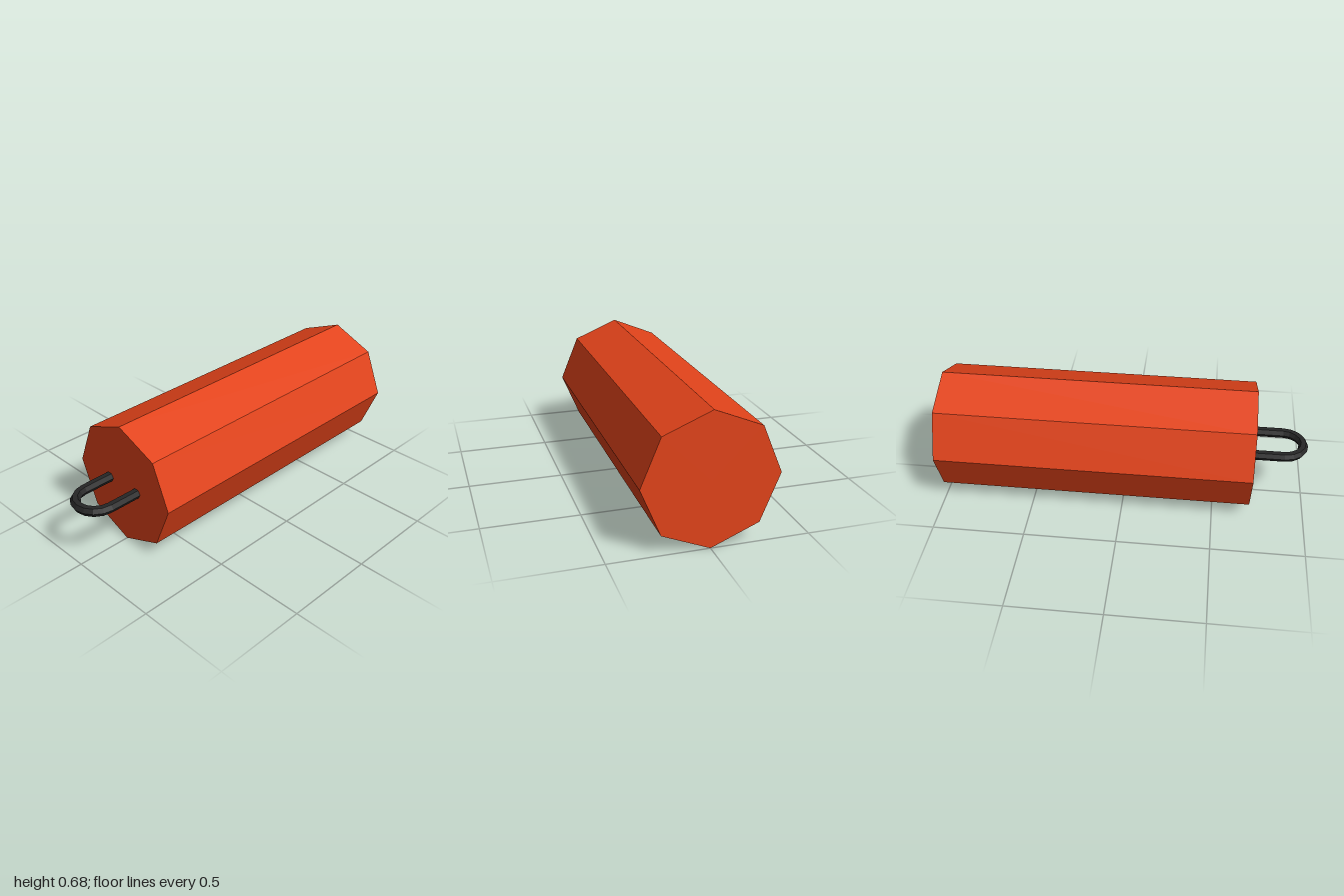
import * as THREE from 'three';

const RADIUS = 0.34;          // body radius, also its axis height
const BEND = 0.105;           // loop bend radius
const TUBE = 0.0265;          // loop thickness radius
const ARC_STEPS = 8, LEG_STEPS = 5;

// U-shaped path in the YZ plane: leg, half circle, leg
class LoopCurve extends THREE.Curve {
  getPoint(t, target = new THREE.Vector3()) {
    const arc = Math.PI * BEND;
    const leg = arc * LEG_STEPS / ARC_STEPS;
    const s = t * (arc + 2 * leg);
    if (s <= leg) return target.set(0, -BEND, s - leg);
    if (s >= leg + arc) return target.set(0, BEND, leg + arc - s);
    const a = (s - leg) / BEND;
    return target.set(0, -BEND * Math.cos(a), BEND * Math.sin(a));
  }
}

function part(name, geometry, color) {
  const mesh = new THREE.Mesh(
    geometry,
    new THREE.MeshStandardMaterial({ color, flatShading: true })
  );
  mesh.name = name;
  return mesh;
}

export function createModel() {
  const model = new THREE.Group();
  model.name = 'octagonalCylinderWithLoop';

  // Octagonal body lying along z, one corner up
  const body = part('body', new THREE.CylinderGeometry(RADIUS, RADIUS, 1.7, 8).rotateX(Math.PI / 2), 0xe2431a);
  body.position.set(0, RADIUS, -0.15);

  // Hexagonal loop, turned flat, with its legs sunk into the front face
  const loopGeometry = new THREE.TubeGeometry(new LoopCurve(), ARC_STEPS + 2 * LEG_STEPS, TUBE, 6, false);
  const loop = part('loop', loopGeometry.rotateZ(Math.PI / 2), 0x262626);
  loop.position.set(0, RADIUS, 1 - TUBE - BEND);

  model.add(body, loop);
  return model;
}
